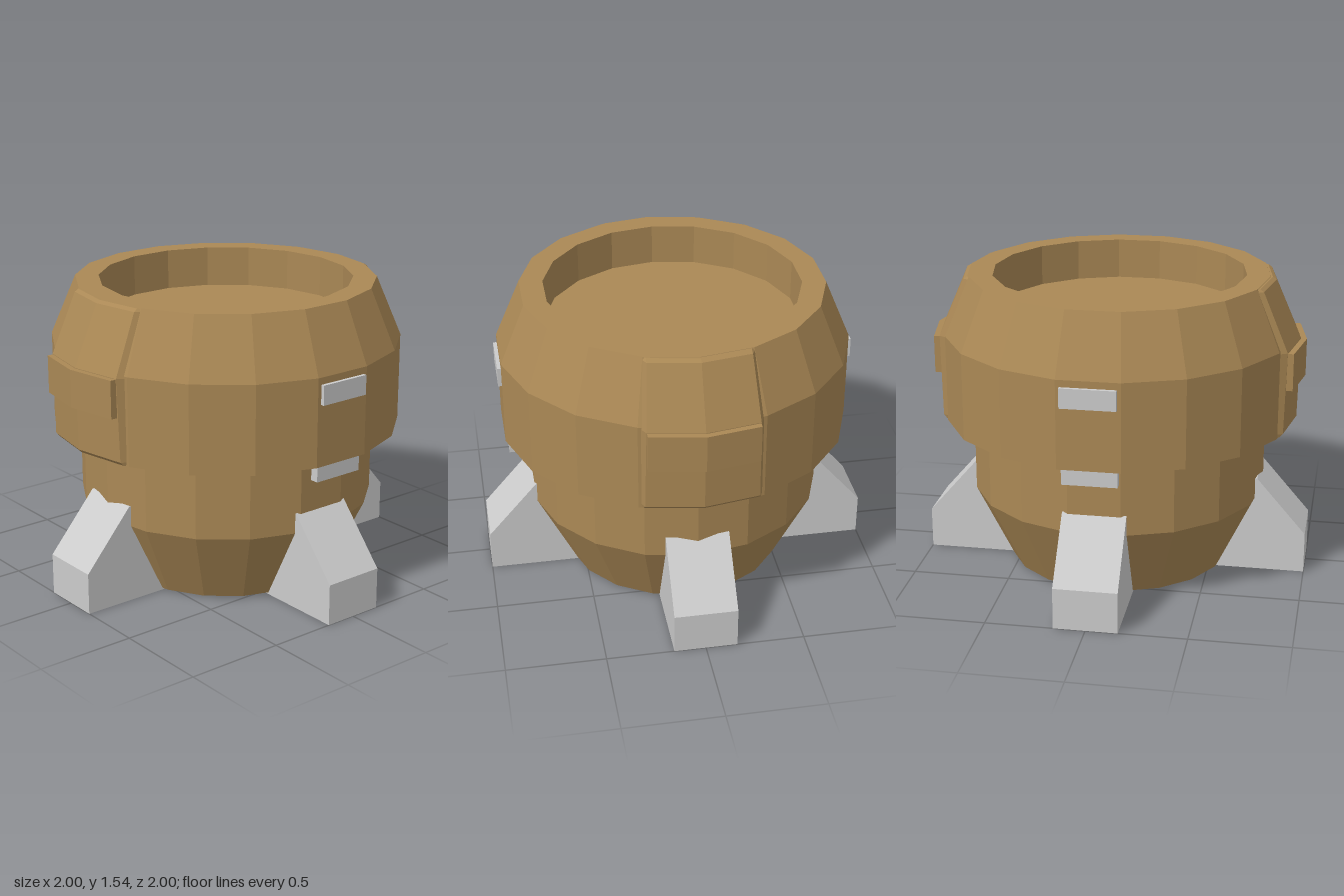
import * as THREE from 'three';

const SIDES = 18;
const tan = new THREE.MeshStandardMaterial({ color: 0xaa8855, flatShading: true });
const grey = new THREE.MeshStandardMaterial({ color: 0xcccccc, flatShading: true });

function add(parent, name, geometry, material) {
  const mesh = new THREE.Mesh(geometry, material);
  mesh.name = name;
  parent.add(mesh);
  return mesh;
}

// Faceted turned shape with flats facing front and back, ridges at the sides
function turned(profile) {
  const points = profile.map(([r, y]) => new THREE.Vector2(r, y));
  return new THREE.LatheGeometry(points, SIDES, Math.PI / SIDES);
}

// Two-facet plate on the +x side: levels of [y, ridge radius, half width]
function plate(levels, depth, flare) {
  const slope = Math.tan(Math.PI / SIDES);
  const positions = [], index = [], n = 5, last = (levels.length - 1) * n;
  for (const [y, r, w] of levels) {
    const edge = r - w * slope;
    const section = [[edge - depth, -w - flare], [edge, -w], [r, 0], [edge, w], [edge - depth, w + flare]];
    for (const [x, z] of section) positions.push(x, y, z);
  }
  for (let k = 0; k < last; k += n) {
    for (let i = 0; i < n; i++) {
      const a = k + i, b = k + (i + 1) % n;
      index.push(a, a + n, b, b, a + n, b + n);
    }
  }
  for (let i = 1; i < n - 1; i++) {
    index.push(0, i, i + 1, last, last + i + 1, last + i);
  }
  const geometry = new THREE.BufferGeometry();
  geometry.setAttribute('position', new THREE.Float32BufferAttribute(positions, 3));
  geometry.setIndex(index);
  const flat = geometry.toNonIndexed();
  flat.computeVertexNormals();
  return flat;
}

export function createModel() {
  const model = new THREE.Group();
  model.name = 'container';

  // Tapered lower bowl
  add(model, 'lowerBody', turned([
    [0, 0.01], [0.575, 0.01], [0.763, 0.4], [0.763, 0.8],
  ]), tan);

  // Wide upper collar with a recessed top
  add(model, 'upperBody', turned([
    [0.7, 0.785], [0.9, 0.785], [0.9, 1.235], [0.77, 1.54],
    [0.65, 1.54], [0.65, 1.33], [0, 1.33],
  ]), tan);

  // Side panels, each with a raised band
  const panelGeo = plate([
    [0.787, 0.908, 0.285], [0.805, 0.924, 0.28], [1.225, 0.932, 0.272],
    [1.525, 0.8, 0.25], [1.538, 0.78, 0.248],
  ], 0.055, 0.03);
  const bandGeo = plate([[1.03, 0.962, 0.27], [1.222, 0.962, 0.27]], 0.08, 0);
  for (const [side, angle] of [['left', 0], ['right', Math.PI]]) {
    const group = new THREE.Group();
    group.name = side + 'SidePanel';
    group.rotation.y = angle;
    add(group, 'panel', panelGeo, tan);
    add(group, 'band', bandGeo, tan);
    model.add(group);
  }

  // Small tabs on and under the collar, front and back
  for (const [end, s] of [['front', 1], ['back', -1]]) {
    add(model, end + 'UpperTab', new THREE.BoxGeometry(0.274, 0.1, 0.06), grey)
      .position.set(0, 1.15, s * 0.875);
    add(model, end + 'LowerTab', new THREE.BoxGeometry(0.274, 0.1, 0.043), grey)
      .position.set(0, 0.752, s * 0.848);
  }

  // Four wedge feet joined by a hub into a cross underneath
  const outline = new THREE.Shape([
    [0.16, 0], [1, 0], [1, 0.212], [0.745, 0.507], [0.6, 0.507], [0.16, 0.1],
  ].map(([x, y]) => new THREE.Vector2(x, y)));
  const footGeo = new THREE.ExtrudeGeometry(outline, { depth: 0.32, bevelEnabled: false });
  footGeo.translate(0, 0, -0.16);
  ['leftFoot', 'backFoot', 'rightFoot', 'frontFoot'].forEach((name, i) => {
    add(model, name, footGeo, grey).rotation.y = i * Math.PI / 2;
  });
  add(model, 'footHub', new THREE.BoxGeometry(0.32, 0.1, 0.32), grey).position.y = 0.05;

  return model;
}
